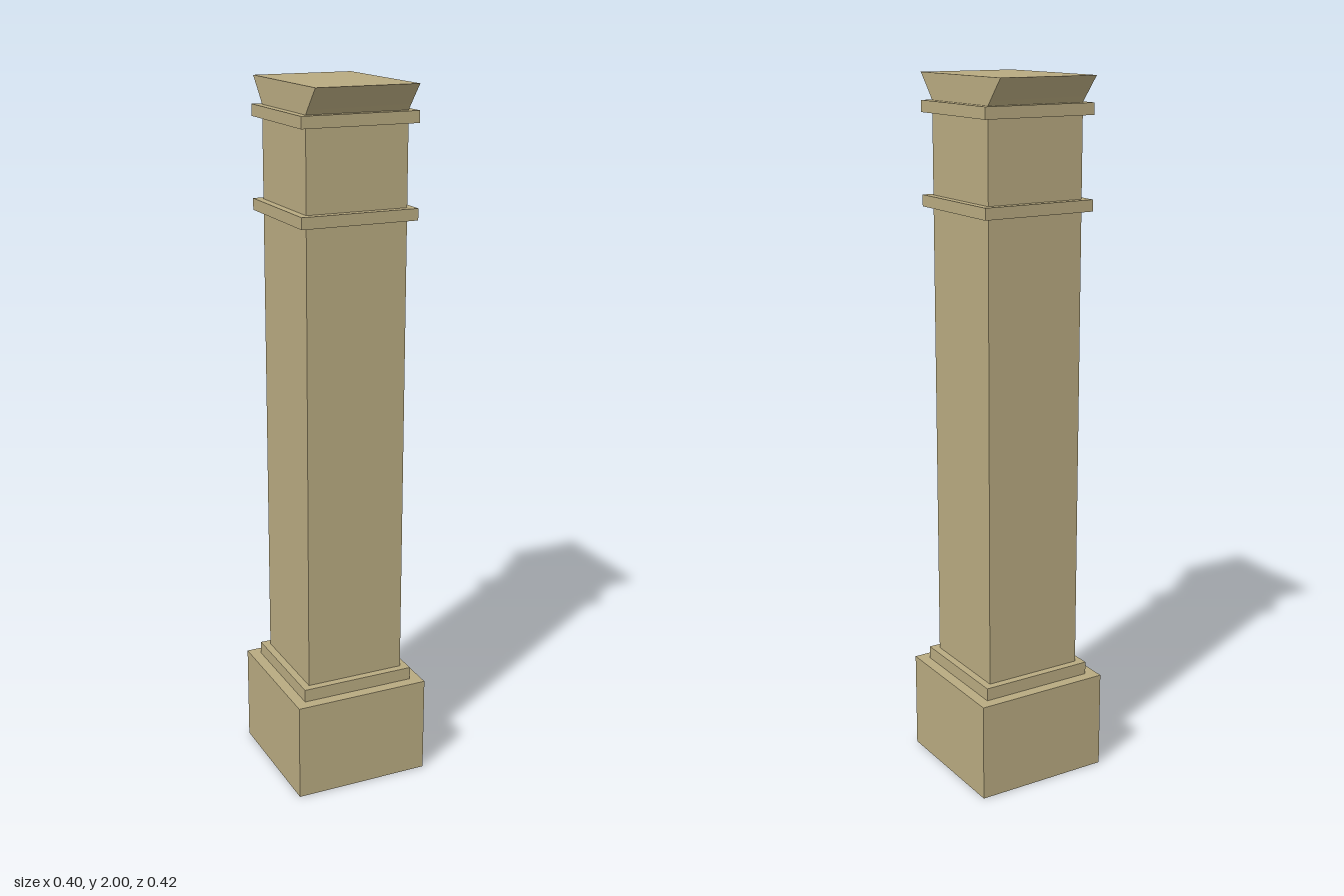
import * as THREE from 'three';
import { toCreasedNormals } from 'three/addons/utils/BufferGeometryUtils.js';

export function createModel() {
  const model = new THREE.Group();
  model.name = 'squareColumn';
  const stone = new THREE.MeshStandardMaterial({ color: 0xb8aa80 });
  stone.name = 'sandstone';

  // Square block between two heights
  const block = (name, half, y0, y1) => {
    const mesh = new THREE.Mesh(new THREE.BoxGeometry(half * 2, y1 - y0, half * 2), stone);
    mesh.name = name;
    mesh.position.y = (y0 + y1) / 2;
    model.add(mesh);
  };
  block('plinth', 0.2, 0, 0.285);
  block('baseMoulding', 0.168, 0.285, 0.322);
  block('shaft', 0.146, 0.322, 1.93);
  block('neckBand', 0.168, 1.642, 1.674);
  block('upperBand', 0.168, 1.896, 1.928);

  // Capital flaring to the front and back, with a slight hollow in the slope
  const foot = 0.146, lip = 0.208, y0 = 1.928, y1 = 2, midZ = 0.174, midY = 1.962;
  const profile = new THREE.Shape();
  profile.moveTo(-foot, y0);
  profile.lineTo(foot, y0);
  profile.quadraticCurveTo(midZ, midY, lip, y1);
  profile.lineTo(-lip, y1);
  profile.quadraticCurveTo(-midZ, midY, -foot, y0);
  const flare = new THREE.ExtrudeGeometry(profile, { depth: foot * 2, bevelEnabled: false, curveSegments: 6 });
  flare.translate(0, 0, -foot).rotateY(Math.PI / 2);
  const capital = new THREE.Mesh(toCreasedNormals(flare, 0.5), stone);
  capital.name = 'flaredCapital';
  model.add(capital);

  return model;
}
